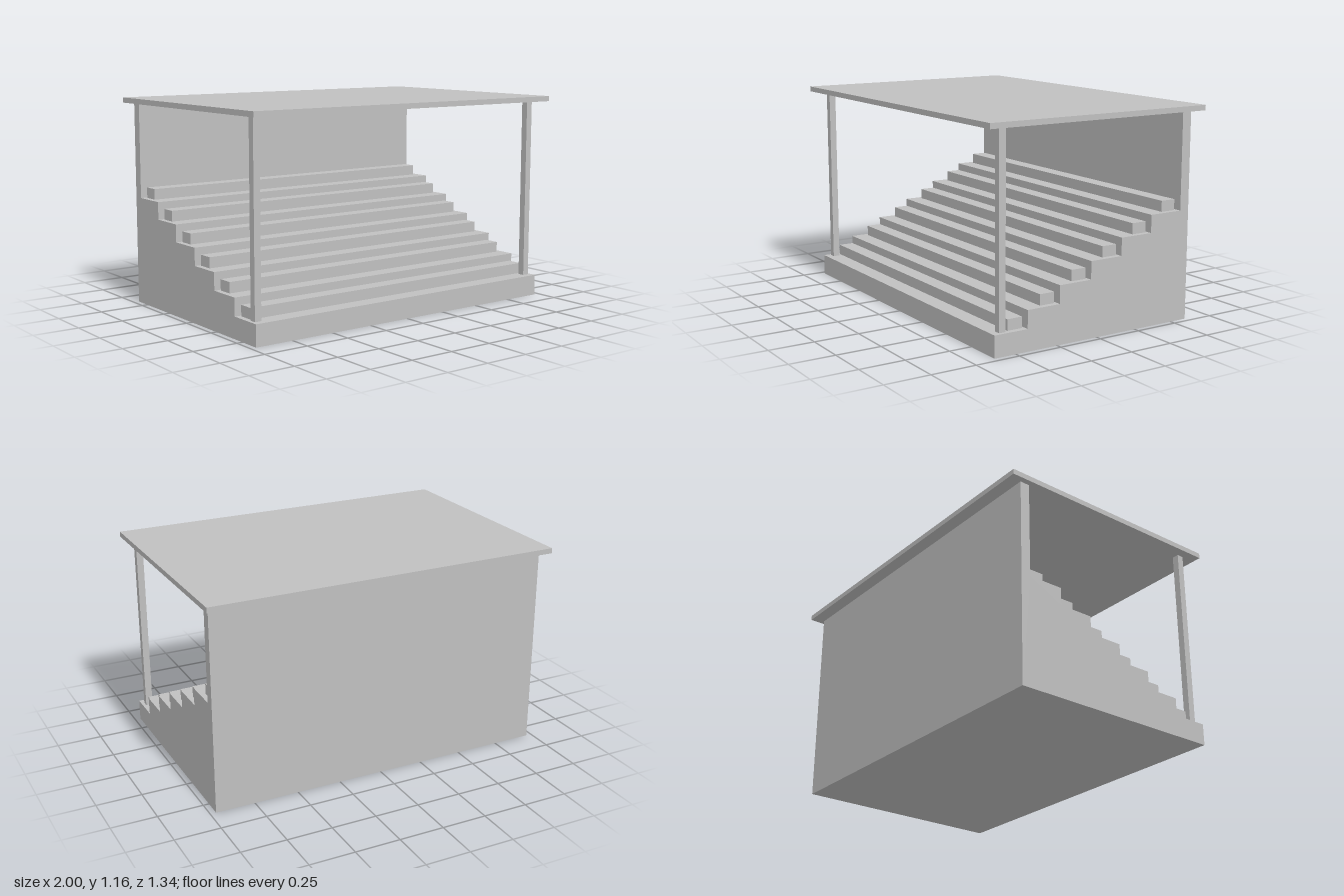
import * as THREE from 'three';

const STEPS = 6, TREAD = 0.1945, RISE = 0.0972;
const FRONT = 0.625, BASE = 0.117, HALF = 0.968;
const WALL_FRONT = -0.545, BACK = -0.6, EAVES = 1.131;

export function createModel() {
  const model = new THREE.Group();
  const grey = new THREE.MeshStandardMaterial({ color: 0xc0c0c0 });
  grey.name = 'grey';

  // box given by its centre x, bottom y, centre z and size
  const box = (name, x, y, z, w, h, d) => {
    const mesh = new THREE.Mesh(new THREE.BoxGeometry(w, h, d), grey);
    mesh.name = name;
    mesh.position.set(x, y + h / 2, z);
    model.add(mesh);
  };

  // terraces and back wall: one side profile (z, y) extruded across the width
  const profile = new THREE.Shape();
  profile.moveTo(BACK, 0);
  profile.lineTo(FRONT, 0);
  for (let i = 0; i < STEPS; i++) {
    const top = BASE + i * RISE;
    profile.lineTo(FRONT - i * TREAD, top);
    profile.lineTo(i < STEPS - 1 ? FRONT - (i + 1) * TREAD : WALL_FRONT, top);
  }
  profile.lineTo(WALL_FRONT, EAVES);
  profile.lineTo(BACK, EAVES);
  const geometry = new THREE.ExtrudeGeometry(profile, { depth: HALF * 2, bevelEnabled: false });
  geometry.translate(0, 0, -HALF).rotateY(-Math.PI / 2);
  const stand = new THREE.Mesh(geometry, grey);
  stand.name = 'terracesAndBackWall';
  model.add(stand);

  // one bench on every terrace
  for (let i = 0; i < STEPS; i++) {
    box('bench' + (i + 1), 0, BASE + i * RISE, 0.488 - i * TREAD, 1.876, 0.059, 0.087);
  }

  // front posts
  for (const side of [1, -1]) {
    box(side > 0 ? 'leftPost' : 'rightPost', side * 0.93, BASE, 0.568, 0.038, EAVES - BASE, 0.038);
  }

  // flat roof
  box('roof', 0, EAVES, 0, 2, 0.029, 1.342);

  return model;
}
